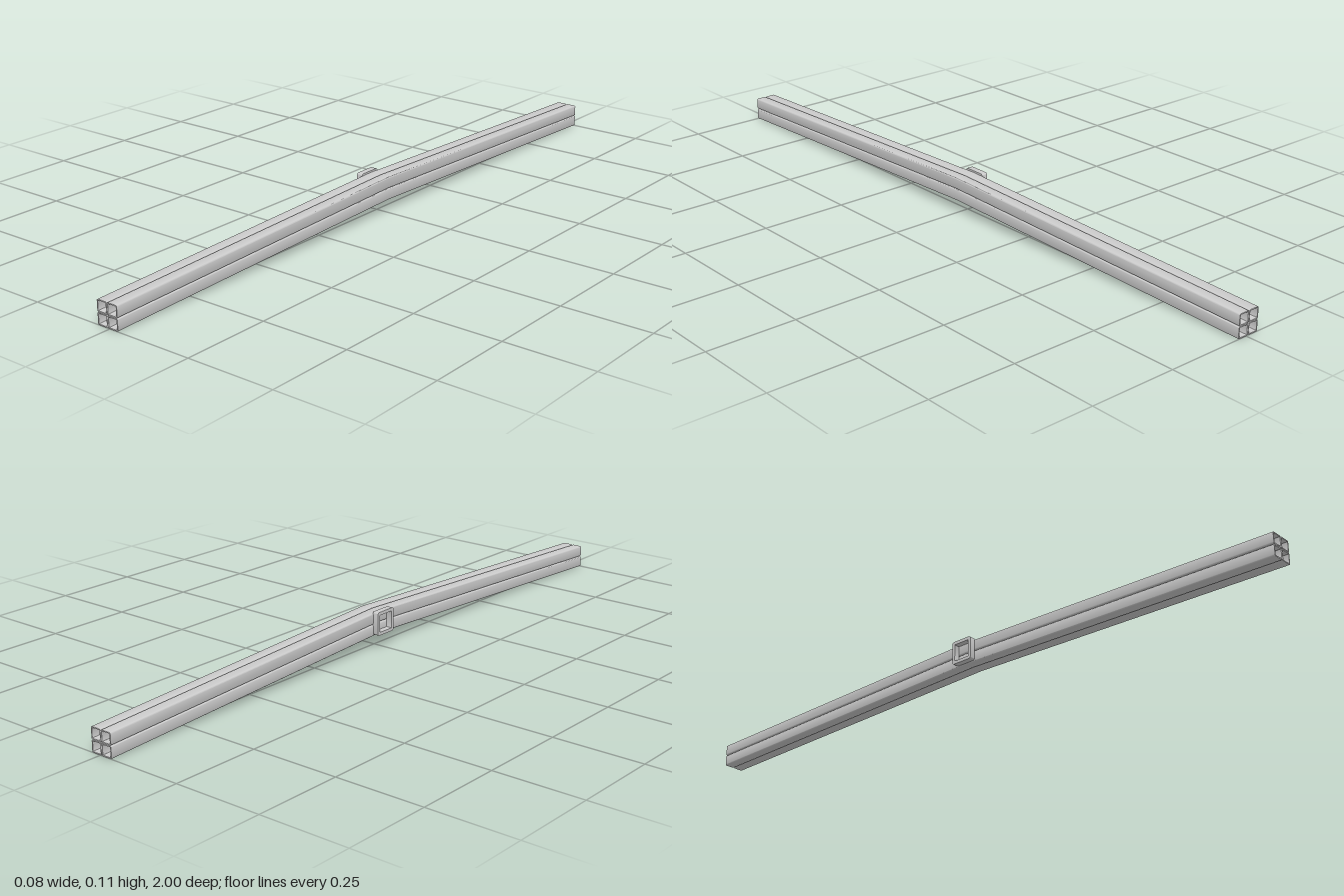
import * as THREE from 'three';
import { toCreasedNormals } from 'three/addons/utils/BufferGeometryUtils.js';

const material = new THREE.MeshStandardMaterial({ color: 0xcccccc });

function roundedSquare(target, size, radius) {
  const h = size / 2, c = h - radius;
  target.moveTo(c, -h);
  target.absarc(c, -c, radius, -Math.PI / 2, 0, false);
  target.absarc(c, c, radius, 0, Math.PI / 2, false);
  target.absarc(-c, c, radius, Math.PI / 2, Math.PI, false);
  target.absarc(-c, -c, radius, Math.PI, Math.PI * 1.5, false);
  return target;
}

// Hollow square section centred on the origin and running along z
function hollowSection(size, wall, radius, depth, steps) {
  const shape = roundedSquare(new THREE.Shape(), size, radius);
  shape.holes.push(roundedSquare(new THREE.Path(), size - wall * 2, Math.max(radius - wall, 0.001)));
  const geometry = new THREE.ExtrudeGeometry(shape, { depth, steps, bevelEnabled: false, curveSegments: 5 });
  return geometry.translate(0, 0, -depth / 2);
}

// Shift each cross-section so that the tube kinks at mid-length
function bend(geometry, dx, dy) {
  const p = geometry.attributes.position;
  for (let i = 0; i < p.count; i++) {
    const t = 1 - Math.abs(p.getZ(i));
    p.setXY(i, p.getX(i) + dx * t, p.getY(i) + dy * t);
  }
  return geometry;
}

export function createModel() {
  const model = new THREE.Group();
  const pitch = 0.0335, size = 0.0325;

  // Bundle of four bent square tubes
  const beam = new THREE.Group();
  beam.name = 'tubeBundle';
  for (const [row, sy] of [['lower', -1], ['upper', 1]]) {
    for (const [side, sx] of [['Right', -1], ['Left', 1]]) {
      const geometry = hollowSection(size, 0.003, 0.004, 2, 2);
      geometry.translate(-0.0055 + sx * pitch / 2, 0.033 + sy * pitch / 2, 0);
      const tube = new THREE.Mesh(toCreasedNormals(bend(geometry, 0.0145, 0.0375), 0.5), material);
      tube.name = row + side + 'Tube';
      beam.add(tube);
    }
  }
  model.add(beam);

  // Short square collar fixed to the side at the bend
  const collar = new THREE.Mesh(toCreasedNormals(hollowSection(0.067, 0.009, 0.006, 0.018, 1), 0.5), material);
  collar.name = 'sideCollar';
  collar.rotation.y = Math.PI / 2;
  collar.position.set(-0.0325, 0.0735, 0);
  model.add(collar);

  return model;
}
